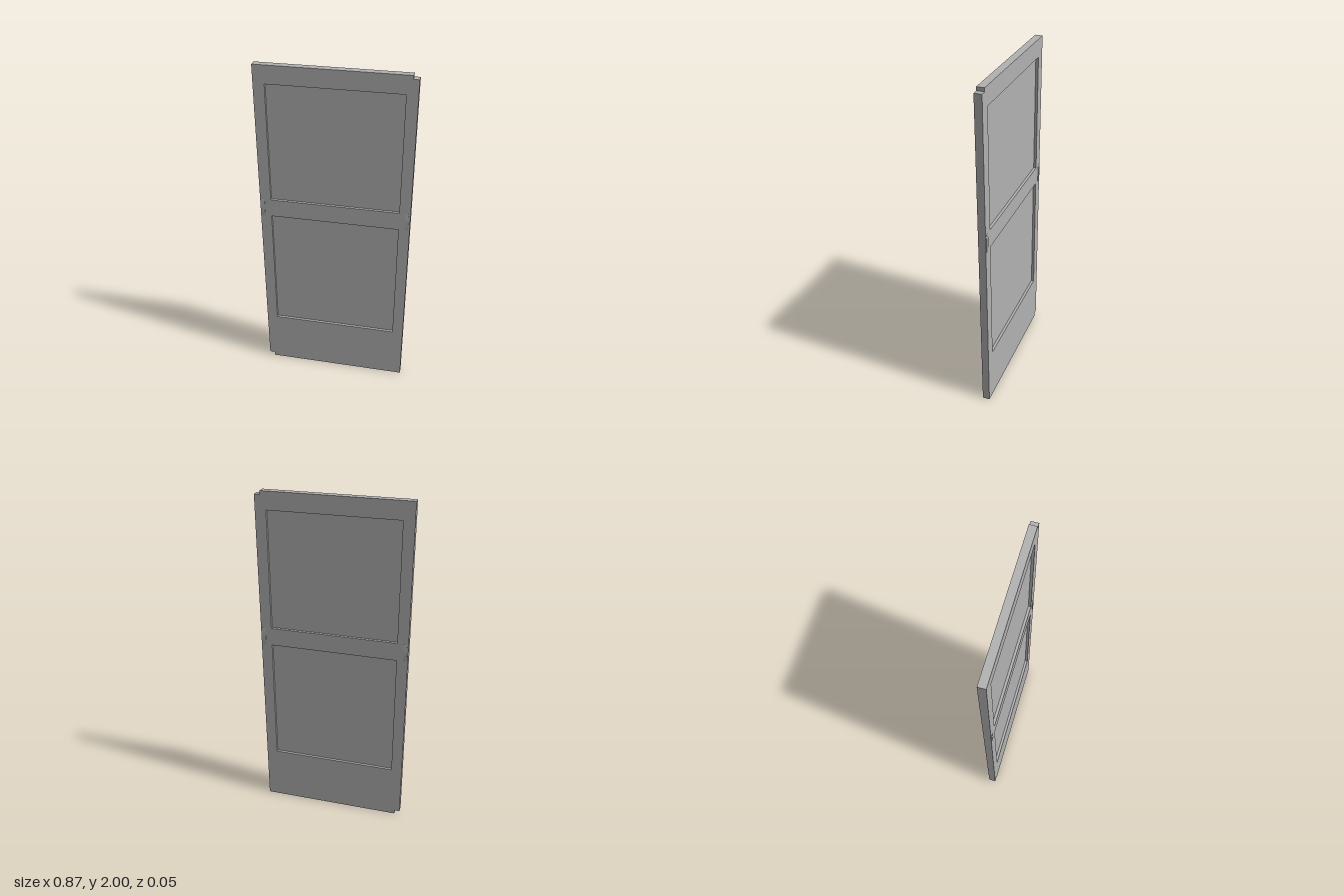
import * as THREE from 'three';

const HALF = 0.0215; // half the door thickness

export function createModel() {
  const door = new THREE.Group();
  door.name = 'panelDoor';
  const grey = new THREE.MeshStandardMaterial({ color: 0xb2b2b2 });
  grey.name = 'doorGrey';

  const add = (name, geometry, x = 0, y = 0, z = 0) => {
    const mesh = new THREE.Mesh(geometry, grey);
    mesh.name = name;
    mesh.position.set(x, y, z);
    door.add(mesh);
  };

  // Frame outline, notched at the lower right and upper left corners
  const outline = new THREE.Shape([
    [-0.405, 0], [0.437, 0], [0.437, 1.98], [0.405, 1.98],
    [0.405, 2], [-0.437, 2], [-0.437, 0.025], [-0.405, 0.025],
  ].map(([x, y]) => new THREE.Vector2(x, y)));

  // Two openings, each closed by a thin recessed panel
  const openings = [
    { name: 'lowerPanel', bottom: 0.335, top: 1.092 },
    { name: 'upperPanel', bottom: 1.2, top: 1.897 },
  ];
  const side = 0.373;
  for (const { name, bottom, top } of openings) {
    outline.holes.push(new THREE.Path([
      new THREE.Vector2(-side, bottom), new THREE.Vector2(-side, top),
      new THREE.Vector2(side, top), new THREE.Vector2(side, bottom),
    ]));
    add(name, new THREE.BoxGeometry(2 * side, top - bottom, 0.012), 0, (bottom + top) / 2);
  }
  add('frame', new THREE.ExtrudeGeometry(outline, { depth: 2 * HALF, bevelEnabled: false }), 0, 0, -HALF);

  // Slim bowed finger pulls at both edges, on the front and the back
  const bow = new THREE.Shape();
  bow.moveTo(0, -0.055);
  bow.lineTo(0.001, -0.055);
  bow.quadraticCurveTo(0.006, 0, 0.001, 0.055);
  bow.lineTo(0, 0.055);
  const pull = new THREE.ExtrudeGeometry(bow, { depth: 0.02, bevelEnabled: false, curveSegments: 8 });
  pull.translate(0, 0, -0.01);
  const frontPull = pull.clone().rotateY(-Math.PI / 2);
  const backPull = pull.clone().rotateY(Math.PI / 2);
  for (const [label, x] of [['left', 0.417], ['right', -0.42]]) {
    add(label + 'FrontPull', frontPull, x, 1.146, HALF);
    add(label + 'BackPull', backPull, x, 1.146, -HALF);
  }
  return door;
}
